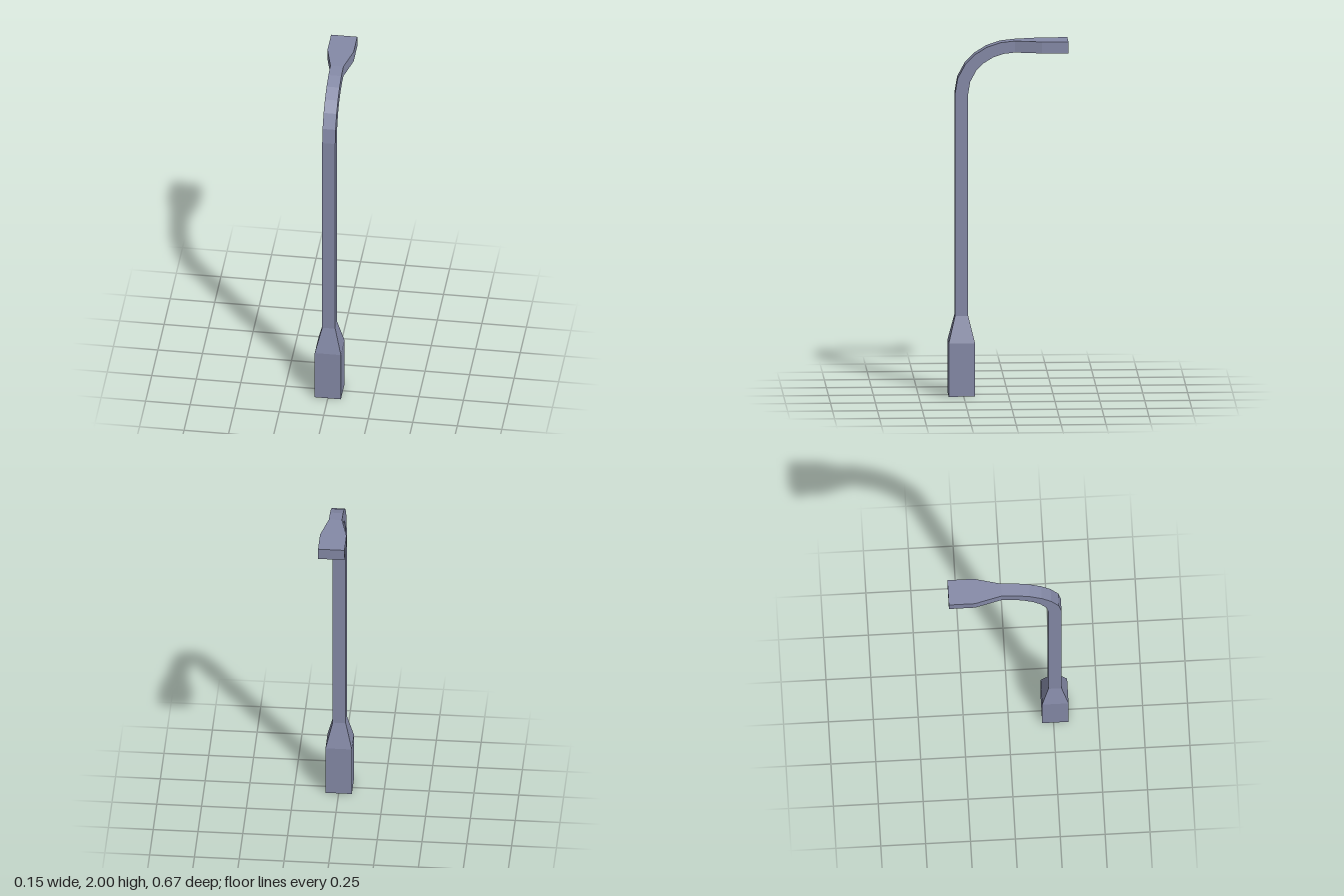
import * as THREE from 'three';

const TOP = 2, THICK = 0.065; // lamp arm height and thickness
const SLIM = 0.0365, WIDE = 0.0735; // half widths
const POLE_Z = 0.26, ARM_Z = -0.037, BEND_Y = 1.705;

// Skin four-cornered rings into a faceted tube, closed at the bottom
function loft(rings) {
  const position = rings.flatMap(({ outer, inner, half }) => [
    half, outer[1], outer[0], -half, outer[1], outer[0],
    -half, inner[1], inner[0], half, inner[1], inner[0],
  ]);
  const index = [0, 1, 2, 0, 2, 3];
  for (let i = 0; i < rings.length - 1; i++) {
    for (let j = 0; j < 4; j++) {
      const a = i * 4 + j, b = i * 4 + (j + 1) % 4;
      index.push(a, a + 4, b, b, a + 4, b + 4);
    }
  }
  const g = new THREE.BufferGeometry();
  g.setAttribute('position', new THREE.Float32BufferAttribute(position, 3));
  g.setIndex(index);
  const flat = g.toNonIndexed();
  flat.computeVertexNormals();
  return flat;
}

export function createModel() {
  const group = new THREE.Group();
  const metal = new THREE.MeshStandardMaterial({ color: 0x8489a6, flatShading: true });
  const glow = new THREE.MeshStandardMaterial({ color: 0xfff4d8, flatShading: true });
  const add = (name, geometry, material) => {
    const mesh = new THREE.Mesh(geometry, material);
    mesh.name = name;
    group.add(mesh);
  };

  // Square footing, tapering into the straight post
  const level = (y, half) => ({ outer: [POLE_Z + half, y], inner: [POLE_Z - half, y], half });
  const rings = [level(0, WIDE), level(0.3, WIDE), level(0.45, SLIM)];

  // Quarter bend from the post to the horizontal arm
  const arc = (edgeZ, topY, angle) => [
    ARM_Z + (edgeZ - ARM_Z) * Math.cos(angle),
    BEND_Y + (topY - BEND_Y) * Math.sin(angle),
  ];
  for (const degrees of [0, 17, 34, 48, 62, 76, 90]) {
    const angle = THREE.MathUtils.degToRad(degrees);
    rings.push({
      outer: arc(POLE_Z + SLIM, TOP, angle),
      inner: arc(POLE_Z - SLIM, TOP - THICK, angle),
      half: SLIM,
    });
  }
  add('pole', loft(rings), metal);

  // Flat lamp head that widens from the arm
  const outline = new THREE.Shape([
    [-SLIM, ARM_Z], [-WIDE, -0.187], [-WIDE, -0.333],
    [WIDE, -0.333], [WIDE, -0.187], [SLIM, ARM_Z],
  ].map(([x, z]) => new THREE.Vector2(x, z)));
  const head = new THREE.ExtrudeGeometry(outline, { depth: THICK, bevelEnabled: false });
  add('lampHead', head.rotateX(Math.PI / 2).translate(0, TOP, 0), metal);

  // Light panel on the underside
  const panel = new THREE.ShapeGeometry(outline);
  add('lightPanel', panel.rotateX(Math.PI / 2).translate(0, TOP - THICK - 0.001, 0), glow);

  return group;
}
